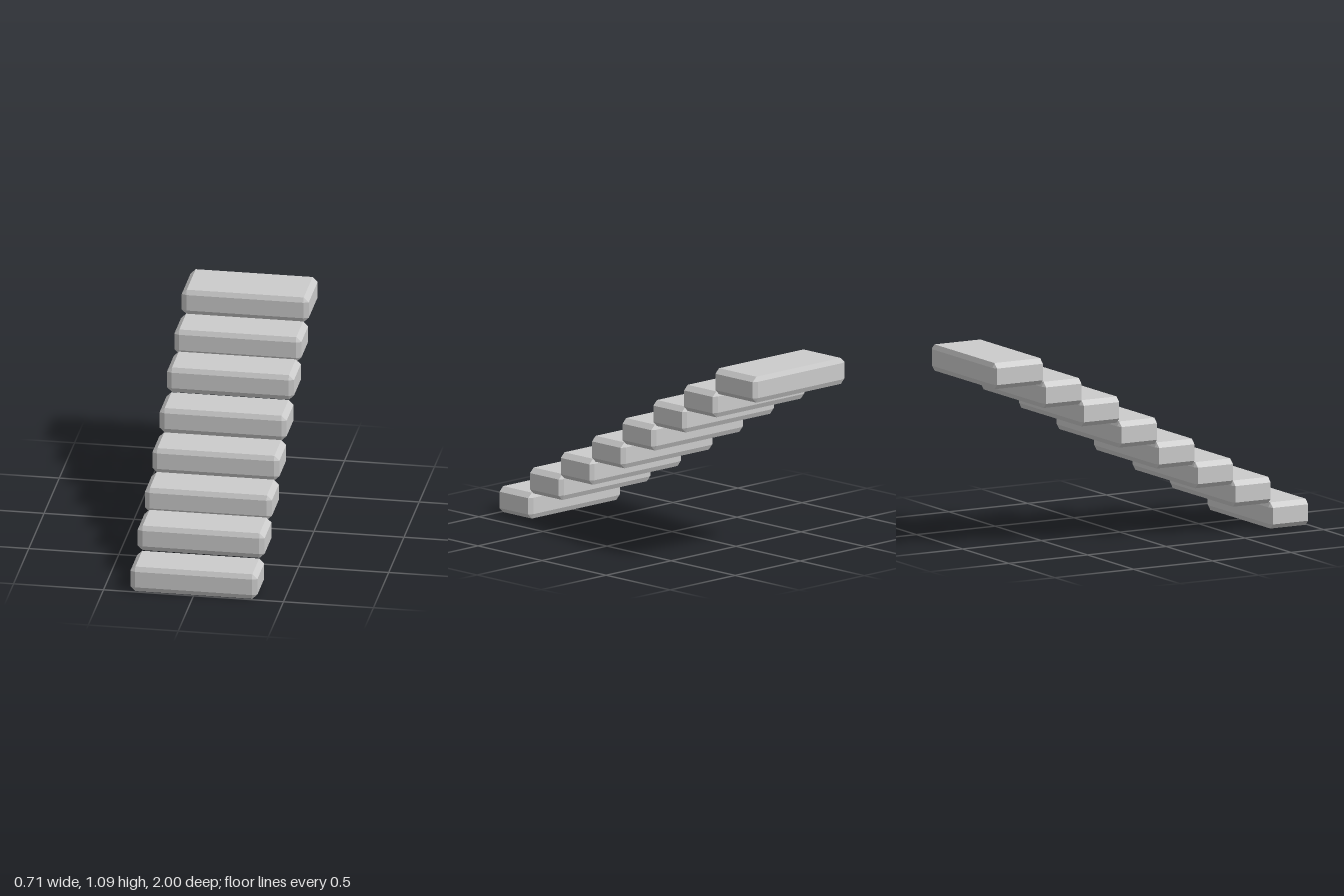
import * as THREE from 'three';
import { ConvexGeometry } from 'three/addons/geometries/ConvexGeometry.js';

// Box with every edge chamfered; bevel holds the inset along x, y and z
function chamferedBlock(size, bevel) {
  const half = size.map((s) => s / 2);
  const points = [];
  for (const sx of [-1, 1]) for (const sy of [-1, 1]) for (const sz of [-1, 1]) {
    const sign = [sx, sy, sz];
    // each corner is cut into three points, one on each adjoining face
    for (let face = 0; face < 3; face++) {
      const p = sign.map((s, axis) => s * (half[axis] - (axis === face ? 0 : bevel[axis])));
      points.push(new THREE.Vector3(...p));
    }
  }
  return new ConvexGeometry(points);
}

export function createModel() {
  const model = new THREE.Group();
  model.name = 'staircase';
  const stone = new THREE.MeshStandardMaterial({ color: 0xcccccc, flatShading: true });

  const width = 0.706, height = 0.146;
  // top height, front z and back z of each step, from the lowest up
  const steps = [
    [0.147, 1.0, 0.752],
    [0.291, 0.762, 0.514],
    [0.416, 0.522, 0.275],
    [0.549, 0.278, 0.03],
    [0.688, 0.04, -0.208],
    [0.829, -0.2, -0.448],
    [0.954, -0.44, -0.688],
    [1.088, -0.685, -1.0], // deeper landing
  ];

  steps.forEach(([top, front, back], i) => {
    const geometry = chamferedBlock([width, height, front - back], [0.028, 0.027, 0.012]);
    const step = new THREE.Mesh(geometry, stone);
    step.name = i === steps.length - 1 ? 'landing' : `step${i + 1}`;
    step.position.set(0, top - height / 2, (front + back) / 2);
    model.add(step);
  });
  return model;
}
